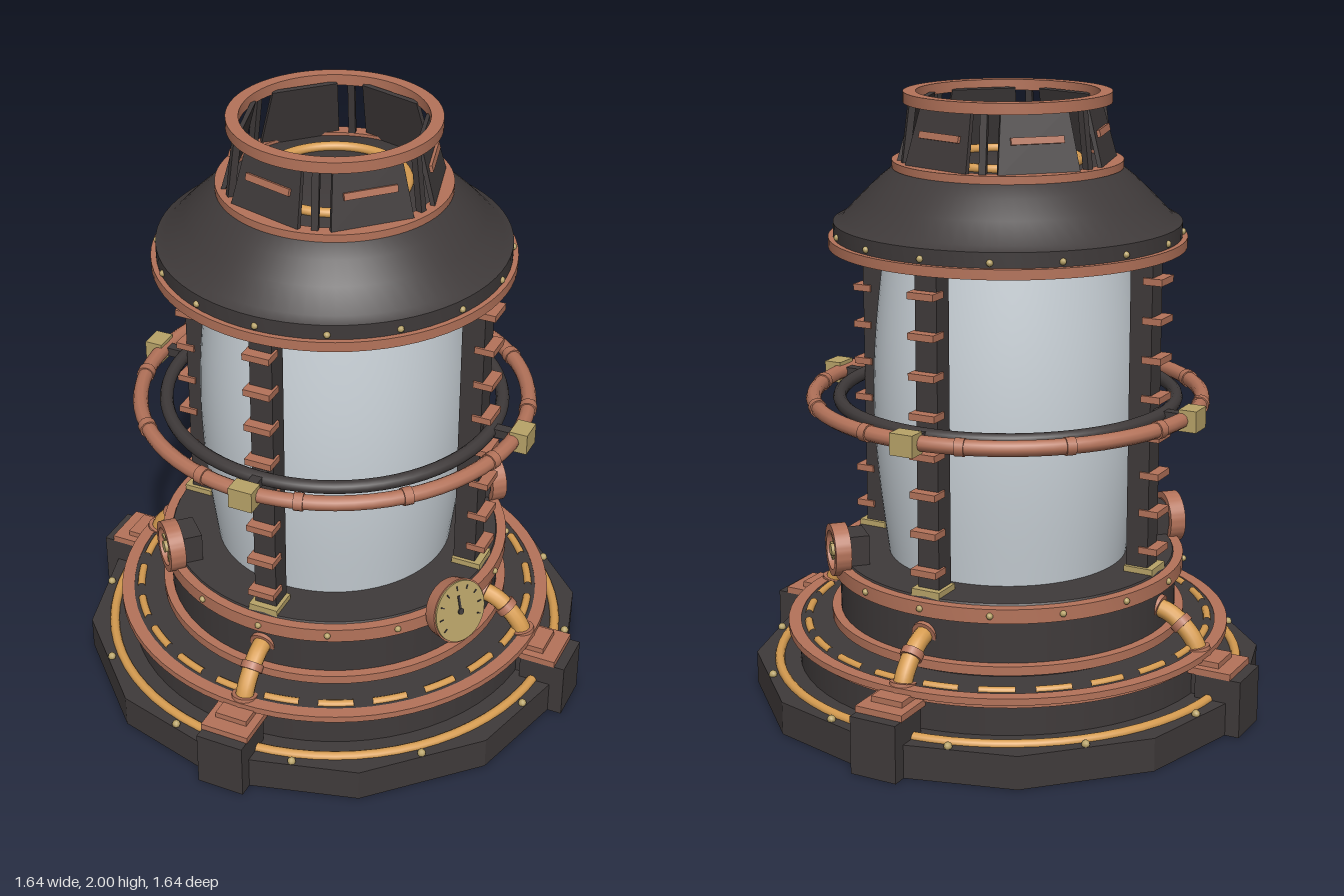
import * as THREE from 'three';
import { toCreasedNormals } from 'three/addons/utils/BufferGeometryUtils.js';

const mat = (name, color, extra = {}) => {
  const m = new THREE.MeshStandardMaterial({ color, ...extra });
  m.name = name;
  return m;
};

export function createModel() {
  const iron = mat('dark iron', 0x3f3a3a);
  const copper = mat('copper', 0xb4735a);
  const gold = mat('golden pipe', 0xd69c50);
  const brass = mat('brass', 0xb8a368);
  const glass = mat('frosted glass', 0xcbd3d9);

  const model = new THREE.Group();
  const add = (name, geo, material, x = 0, y = 0, z = 0, parent = model) => {
    const m = new THREE.Mesh(geo, material);
    m.name = name;
    m.position.set(x, y, z);
    parent.add(m);
    return m;
  };
  const box = (w, h, d) => new THREE.BoxGeometry(w, h, d);
  const cyl = (r1, r2, h, n = 64) => new THREE.CylinderGeometry(r1, r2, h, n);
  const lathe = (pts, n = 72) => toCreasedNormals(
    new THREE.LatheGeometry(pts.map(p => new THREE.Vector2(...p)), n), 0.6);
  // Flat band with a rectangular section
  const band = (rIn, rOut, y0, y1) =>
    lathe([[rIn, y0], [rOut, y0], [rOut, y1], [rIn, y1], [rIn, y0]]);
  // Horizontal round hoop
  const hoop = (r, tube, arc = Math.PI * 2, n = 72) =>
    new THREE.TorusGeometry(r, tube, 10, n, arc).rotateX(Math.PI / 2);
  // Repeats a part around the axis; +z is outward inside each group
  const around = (name, count, start, build) => {
    for (let i = 0; i < count; i++) {
      const g = new THREE.Group();
      g.name = name;
      g.rotation.y = start + i * Math.PI * 2 / count;
      model.add(g);
      build(g, i);
    }
  };
  const studs = (count, r, y, size) => around('studs', count, 0, g =>
    add('stud', new THREE.SphereGeometry(size, 8, 6), brass, 0, y, r, g));

  // Twelve-sided base plate and stepped plinth
  const base = add('basePlate', toCreasedNormals(cyl(0.849, 0.849, 0.11, 12), 0.3), iron, 0, 0.055, 0);
  base.rotation.y = Math.PI / 12;
  add('basePipe', hoop(0.77, 0.016), gold, 0, 0.112, 0);
  studs(12, 0.807, 0.115, 0.014);
  add('plinth', cyl(0.7, 0.7, 0.135), iron, 0, 0.1775, 0);
  add('plinthLowerRim', band(0.66, 0.71, 0.205, 0.225), copper);
  add('plinthRim', band(0.695, 0.737, 0.225, 0.247), copper);
  around('plinthInlay', 24, 0, g =>
    add('inlayDash', hoop(0.67, 0.013, 0.17, 6), gold, 0, 0.245, 0, g));

  // Drum carrying the lamp
  add('drum', cyl(0.56, 0.56, 0.23), iron, 0, 0.36, 0);
  add('drumLowerRing', band(0.54, 0.59, 0.26, 0.29), copper);
  add('drumUpperRing', band(0.5, 0.585, 0.43, 0.477), copper);
  add('drumTop', cyl(0.55, 0.56, 0.02), iron, 0, 0.473, 0);
  studs(16, 0.586, 0.455, 0.011);

  // Bulging glass
  const bulge = [];
  for (let i = 0; i <= 16; i++) {
    const t = i / 16;
    bulge.push(new THREE.Vector2(0.395 + 0.045 * Math.sin(Math.PI * t), 0.475 + 1.055 * t));
  }
  add('glassCylinder', new THREE.LatheGeometry(bulge, 72), glass);

  // Diagonal feet, elbow pipes and ribbed pillars
  const elbow = new THREE.CatmullRomCurve3([[0.53, 0.368], [0.6, 0.345], [0.66, 0.295], [0.69, 0.25], [0.7, 0.2]]
    .map(([r, y]) => new THREE.Vector3(0, y, r)));
  around('corner', 4, Math.PI / 4, g => {
    add('foot', box(0.16, 0.19, 0.155), iron, 0, 0.095, 0.7975, g);
    add('footInner', box(0.11, 0.19, 0.12), iron, 0, 0.095, 0.7, g);
    add('footPlate', box(0.165, 0.022, 0.15), copper, 0, 0.2, 0.765, g);
    add('footBlock', box(0.11, 0.03, 0.1), copper, 0, 0.215, 0.74, g);
    add('elbowPipe', new THREE.TubeGeometry(elbow, 20, 0.03, 12), gold, 0, 0, 0, g);
    [[0.06, 0.043, 0.035], [0.45, 0.037, 0.025], [0.86, 0.042, 0.03]].forEach(([t, r, h]) => {
      const c = add('pipeCollar', cyl(r, r, h, 16), copper, 0, 0, 0, g);
      c.position.copy(elbow.getPointAt(t));
      c.quaternion.setFromUnitVectors(new THREE.Vector3(0, 1, 0), elbow.getTangentAt(t));
    });
    add('pillar', box(0.075, 1.05, 0.075), iron, 0, 1.0, 0.49, g);
    add('pillarFoot', box(0.1, 0.026, 0.1), brass, 0, 0.489, 0.5, g);
    for (let i = 0; i < 8; i++)
      add('pillarClip', box(0.09, 0.022, 0.065), copper, 0, 0.56 + i * 0.126, 0.53, g);
    add('guardClamp', box(0.08, 0.07, 0.06), brass, 0, 1.01, 0.655, g);
    add('guardBracket', box(0.035, 0.03, 0.12), iron, 0, 1.01, 0.57, g);
  });

  // Guard hoops around the glass
  add('guardHoop', hoop(0.635, 0.025), copper, 0, 1.01, 0);
  add('innerGuardHoop', hoop(0.55, 0.022), iron, 0, 1.01, 0);
  around('guardCollars', 12, 0, g => {
    const c = add('guardCollar', cyl(0.029, 0.029, 0.03, 12), copper, 0, 1.01, 0.635, g);
    c.rotation.z = Math.PI / 2;
  });

  // Roof
  add('roofRing', band(0.4, 0.577, 1.51, 1.542), copper);
  add('roof', lathe([[0.001, 1.525], [0.56, 1.525], [0.56, 1.59], [0.53, 1.605], [0.47, 1.668],
    [0.41, 1.725], [0.36, 1.765], [0.34, 1.775], [0.001, 1.775]]), iron);
  studs(16, 0.56, 1.558, 0.011);
  add('roofCollar', band(0.325, 0.37, 1.76, 1.785), copper);
  add('ventInnerRing', hoop(0.228, 0.016), gold, 0, 1.783, 0);

  // Vented chimney: six sloping panels with struts in the gaps
  const lean = -Math.atan2(0.05, 0.19);
  around('chimneyPanels', 6, 0, g => {
    const geo = box(0.25, 0.205, 0.014);
    const p = geo.attributes.position;
    for (let i = 0; i < p.count; i++) p.setX(i, p.getX(i) * (p.getY(i) > 0 ? 0.86 : 1.06));
    geo.computeVertexNormals();
    const panel = add('chimneyPanel', geo, iron, 0, 1.875, 0.298, g);
    panel.rotation.x = lean;
    add('panelStrip', box(0.17, 0.022, 0.014), copper, 0, 0.005, 0.01, panel);
  });
  around('chimneyStruts', 6, Math.PI / 6, g => {
    const s = add('chimneyStrut', box(0.022, 0.205, 0.022), iron, 0, 1.875, 0.325, g);
    s.rotation.x = lean * 0.5;
  });
  add('chimneyRing', band(0.292, 0.332, 1.965, 2.0), copper);

  // Valve wheels on both sides
  [1, -1].forEach(side => {
    const v = new THREE.Group();
    v.name = side > 0 ? 'leftValve' : 'rightValve';
    v.position.set(0, 0.527, 0);
    v.rotation.y = side * Math.PI / 2;
    model.add(v);
    add('valveBox', box(0.11, 0.11, 0.07), iron, 0, 0, 0.522, v);
    const rim = add('valveRim', band(0.064, 0.086, -0.026, 0.026), copper, 0, 0, 0.578, v);
    rim.rotation.x = Math.PI / 2;
    for (let i = 0; i < 4; i++) {
      const s = add('valveSpoke', box(0.135, 0.011, 0.014), brass, 0, 0, 0.585, v);
      s.rotation.z = i * Math.PI / 4;
    }
    const hub = add('valveHub', cyl(0.02, 0.02, 0.06, 16), brass, 0, 0, 0.575, v);
    hub.rotation.x = Math.PI / 2;
  });

  // Tilted gauge at the front
  const gauge = new THREE.Group();
  gauge.name = 'gauge';
  gauge.position.set(0.2, 0.475, 0.575);
  gauge.rotation.set(-0.25, 0.34, 0, 'YXZ');
  model.add(gauge);
  add('gaugeCase', cyl(0.108, 0.1, 0.05, 40).rotateX(Math.PI / 2), copper, 0, 0, 0, gauge);
  add('gaugeFace', cyl(0.103, 0.103, 0.008, 40).rotateX(Math.PI / 2), brass, 0, 0, 0.027, gauge);
  add('gaugeNeedle', box(0.008, 0.06, 0.004), iron, 0, 0.025, 0.032, gauge);
  add('gaugePin', cyl(0.011, 0.011, 0.008, 12).rotateX(Math.PI / 2), iron, 0, 0, 0.032, gauge);
  for (let i = 0; i < 9; i++) {
    const a = -0.5 + i * (Math.PI + 1) / 8;
    const t = add('gaugeTick', box(0.014, 0.004, 0.003), iron, Math.cos(a) * 0.082, Math.sin(a) * 0.082, 0.032, gauge);
    t.rotation.z = a;
  }
  add('gaugeStem', box(0.05, 0.05, 0.08), iron, 0, -0.02, -0.05, gauge);

  return model;
}
